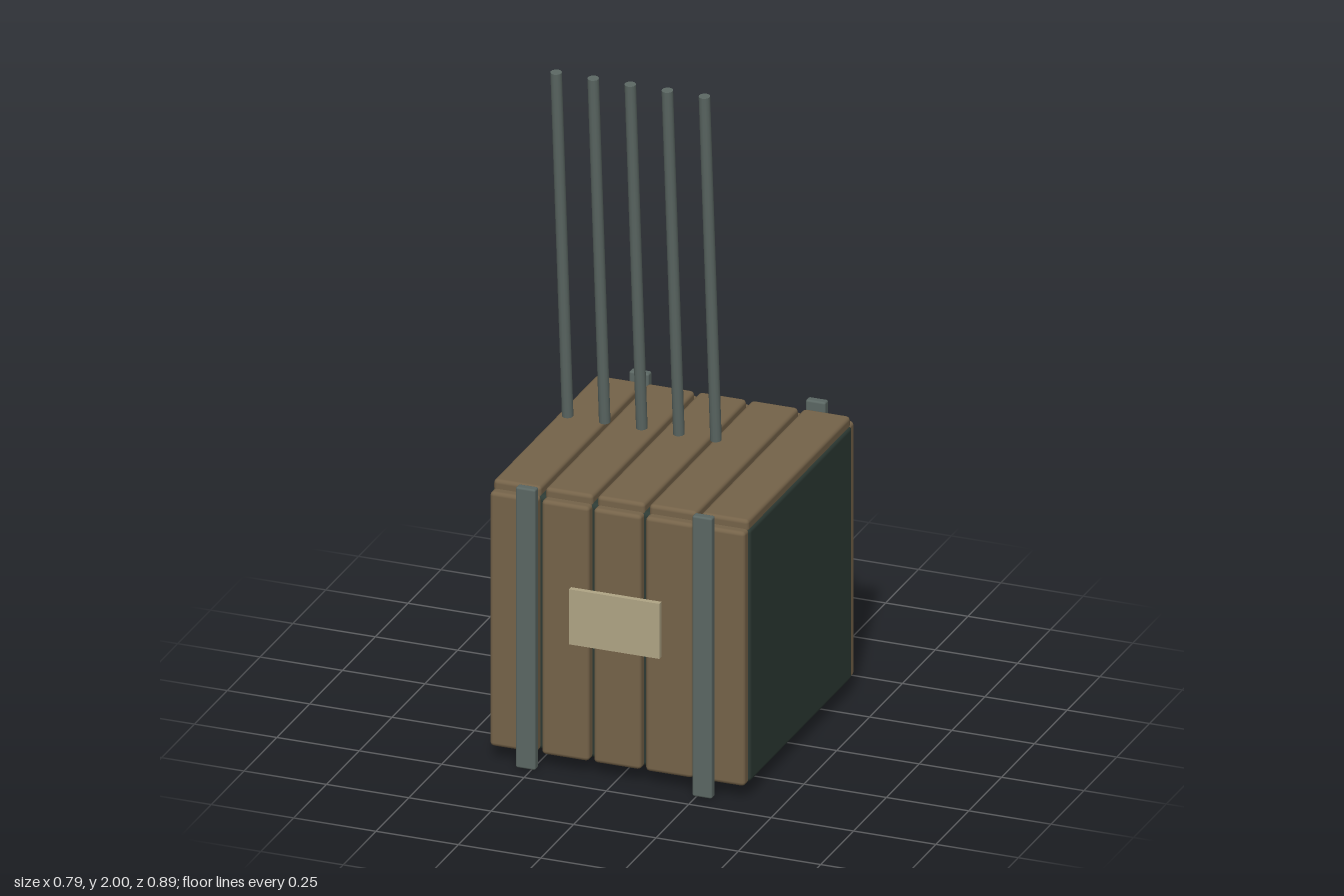
import * as THREE from 'three';
import { RoundedBoxGeometry } from 'three/addons/geometries/RoundedBoxGeometry.js';

const material = (name, color) => {
  const m = new THREE.MeshStandardMaterial({ color });
  m.name = name;
  return m;
};

export function createModel() {
  const group = new THREE.Group();
  const wood = material('brown slats', 0x756349);
  const dark = material('dark green body', 0x2d3a34);
  const metal = material('grey metal', 0x5b6763);
  const cream = material('cream label', 0xb0a585);

  const add = (name, geometry, mat, x, y, z) => {
    const mesh = new THREE.Mesh(geometry, mat);
    mesh.name = name;
    mesh.position.set(x, y, z);
    group.add(mesh);
    return mesh;
  };
  const rounded = (w, h, d, r) => new RoundedBoxGeometry(w, h, d, 2, r);

  // Core of the crate
  add('crateBody', rounded(0.785, 0.785, 0.785, 0.015), dark, 0, 0.437, 0);

  // Slats over the front, top and back
  const uprightSlat = rounded(0.144, 0.785, 0.04, 0.012);
  const topSlat = rounded(0.144, 0.04, 0.785, 0.012);
  for (let i = -2; i <= 2; i++) {
    const x = i * 0.1575;
    add('frontSlat', uprightSlat, wood, x, 0.437, 0.401);
    add('backSlat', uprightSlat, wood, x, 0.437, -0.401);
    add('topSlat', topSlat, wood, x, 0.836, 0);
  }

  // Metal straps on the front and back
  const strap = rounded(0.06, 0.866, 0.027, 0.006);
  for (const x of [-0.268, 0.268]) {
    for (const side of [1, -1]) add('strap', strap, metal, x, 0.436, side * 0.432);
  }

  // Label plate on the front
  add('label', new THREE.BoxGeometry(0.274, 0.17, 0.016), cream, 0, 0.493, 0.432);

  // Row of leaning rods above the crate
  const rod = new THREE.CylinderGeometry(0.0165, 0.0165, 1.1, 12);
  for (let i = 0; i < 5; i++) {
    add('rod', rod, metal, -0.317 + i * 0.1125, 1.45, 0.043).rotation.x = 0.08;
  }

  // Rest the straps on the ground
  group.children.forEach((part) => { part.position.y -= 0.002; });
  return group;
}
